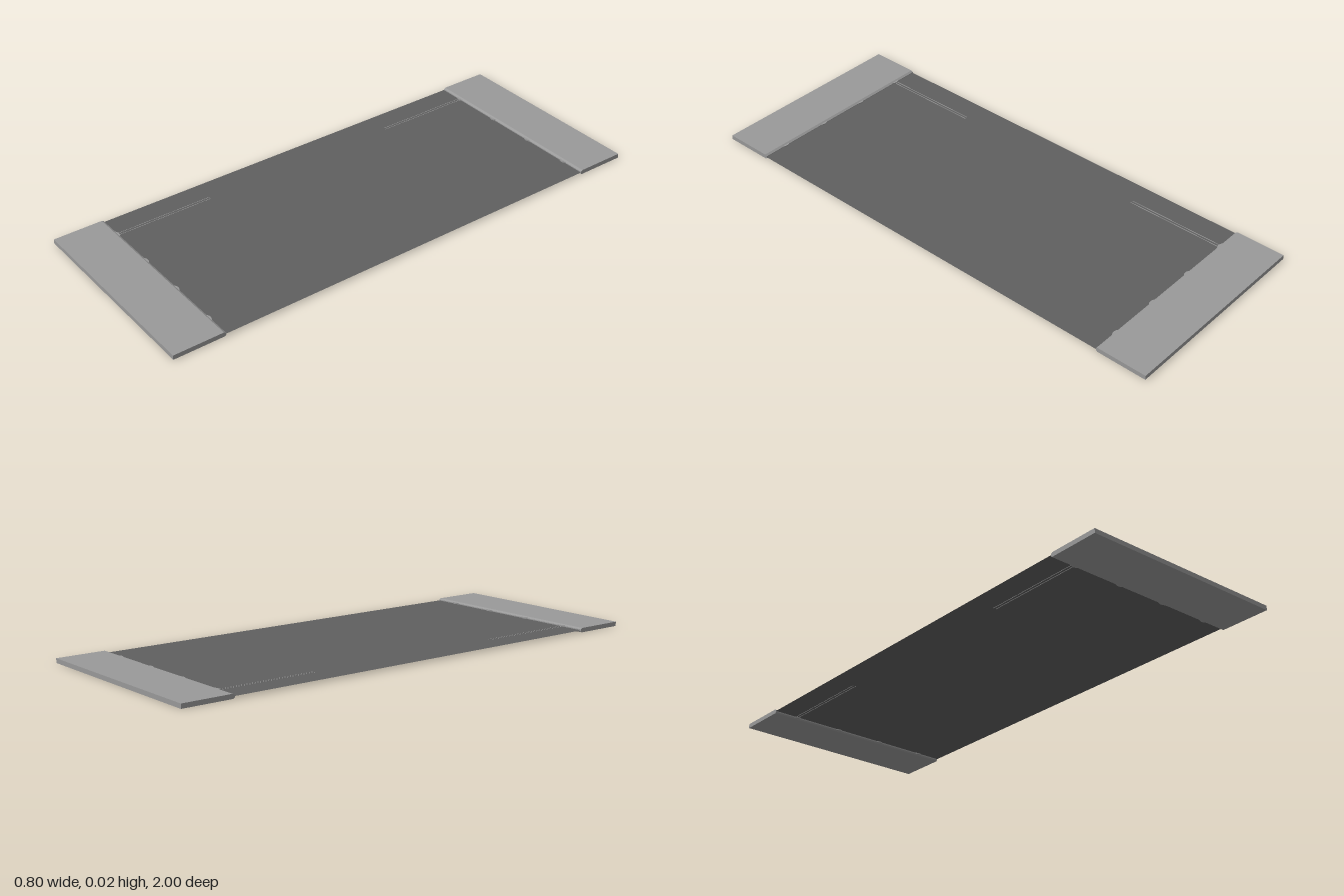
import * as THREE from 'three';

const barGrey = new THREE.MeshStandardMaterial({ color: 0x999999 });
barGrey.name = 'barGrey';
const sheetGrey = new THREE.MeshStandardMaterial({ color: 0x606060, side: THREE.DoubleSide });
sheetGrey.name = 'sheetGrey';

const HEIGHT = 0.017, MID = HEIGHT / 2, WIDTH = 0.8;

function addMesh(parent, name, geometry, material, x, y, z) {
  const mesh = new THREE.Mesh(geometry, material);
  mesh.name = name;
  mesh.position.set(x, y, z);
  parent.add(mesh);
  return mesh;
}

// End bar whose inner edge is slightly bevelled, with its fittings
function createEnd(name) {
  const end = new THREE.Group();
  end.name = name;

  const profile = new THREE.Shape([
    [-1, 0], [-0.806, 0], [-0.8, 0.004], [-0.8, 0.012], [-0.808, HEIGHT], [-1, HEIGHT],
  ].map(([z, y]) => new THREE.Vector2(z, y)));
  const barGeometry = new THREE.ExtrudeGeometry(profile, { depth: WIDTH, bevelEnabled: false });
  barGeometry.rotateY(-Math.PI / 2); // profile runs along z, length along x
  addMesh(end, 'endBar', barGeometry, barGrey, WIDTH / 2, 0, 0);

  // Small rounded clamps along the inner edge
  const clampGeometry = new THREE.CylinderGeometry(0.025, 0.025, 0.01, 32);
  for (const x of [-0.3, -0.1, 0.1, 0.3]) {
    addMesh(end, 'clamp', clampGeometry, barGrey, x, MID, -0.82);
  }
  return end;
}

export function createModel() {
  const model = new THREE.Group();
  model.name = 'sheetWithEndBars';

  // Flat sheet stretched between the bars
  const sheet = new THREE.PlaneGeometry(WIDTH, 1.61);
  sheet.rotateX(-Math.PI / 2);
  addMesh(model, 'sheet', sheet, sheetGrey, 0, MID, 0);

  const back = createEnd('backEnd');
  const front = createEnd('frontEnd');
  front.rotation.y = Math.PI;
  model.add(back, front);

  // Fine paired wires beside the right edge
  const wire = new THREE.BoxGeometry(0.002, 0.002, 0.39);
  for (const z of [-0.605, 0.605]) {
    for (const x of [-0.307, -0.296]) addMesh(model, 'wire', wire, barGrey, x, MID, z);
  }
  return model;
}
